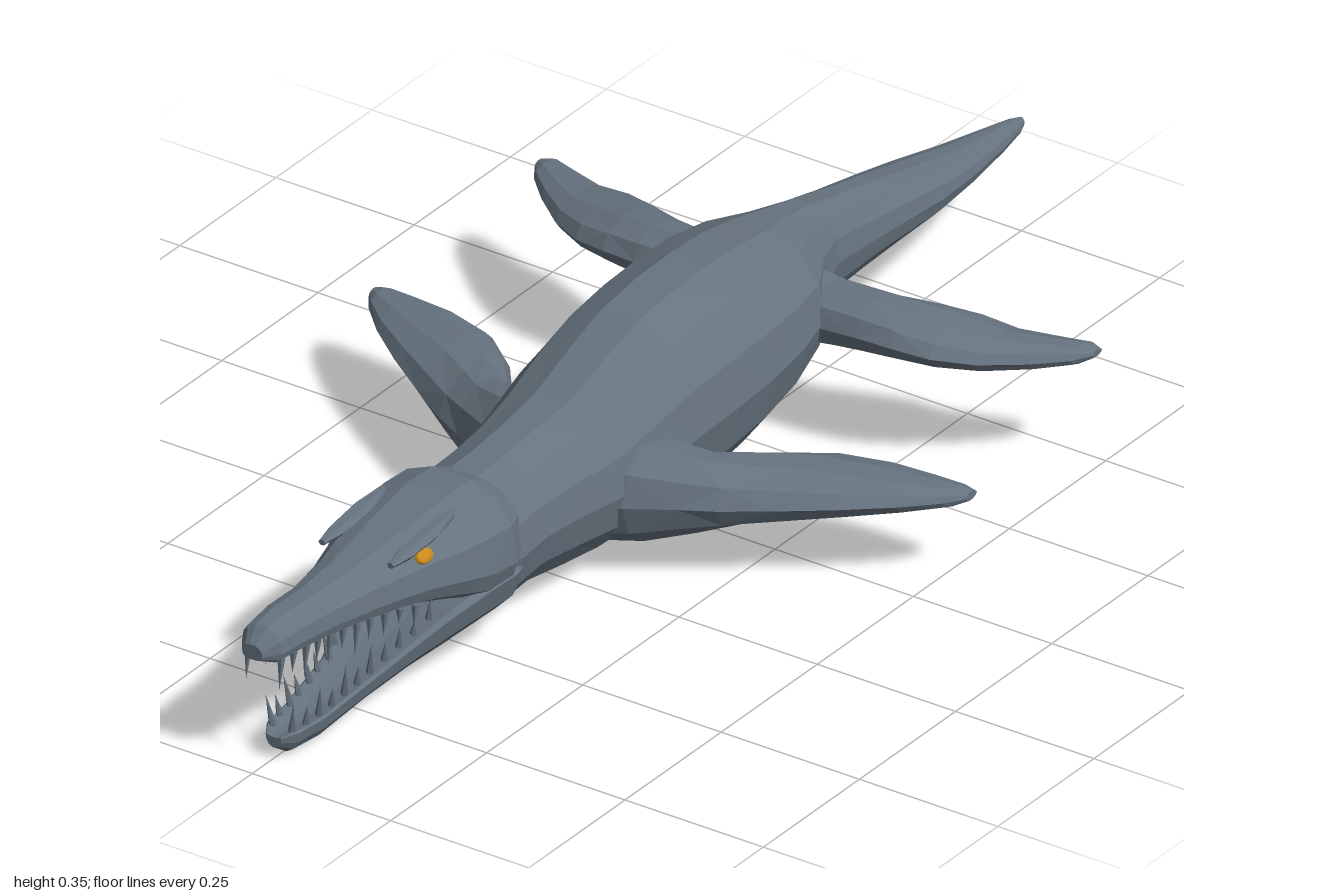
import * as THREE from 'three';

const skin = new THREE.MeshStandardMaterial({ color: 0x66737f });
skin.name = 'slate skin';
const amber = new THREE.MeshStandardMaterial({ color: 0xc98a1c });
amber.name = 'amber eye';

// Skin a row of equal-length rings and close both ends; faceted normals.
function loft(rings) {
  const n = rings[0].length, pos = [], index = [];
  rings.forEach(r => r.forEach(p => pos.push(...p)));
  for (let i = 0; i < rings.length - 1; i++) {
    for (let j = 0; j < n; j++) {
      const a = i * n + j, b = i * n + (j + 1) % n;
      if ((i + j) % 2) index.push(a, a + n, b, b, a + n, b + n);
      else index.push(a, a + n, b + n, a, b + n, b);
    }
  }
  [rings[0], rings[rings.length - 1]].forEach((ring, end) => {
    const c = pos.length / 3, base = end * (rings.length - 1) * n;
    pos.push(...[0, 1, 2].map(k => ring.reduce((s, p) => s + p[k], 0) / n));
    for (let j = 0; j < n; j++) {
      const a = base + j, b = base + (j + 1) % n;
      index.push(c, end ? b : a, end ? a : b);
    }
  });
  const g = new THREE.BufferGeometry();
  g.setAttribute('position', new THREE.Float32BufferAttribute(pos, 3));
  g.setIndex(index);
  const flat = g.toNonIndexed();
  flat.computeVertexNormals();
  return flat;
}

// Cross-section at z: [z, bottom, top, half width]; mid = height share of the widest line.
function ring([z, bot, top, w], { n = 14, mid = 0.5, k = 1, dip = 0 } = {}) {
  const yMid = bot + (top - bot) * mid, pts = [];
  for (let j = 0; j < n; j++) {
    const t = j / n * Math.PI * 2, c = Math.cos(t), s = Math.sin(t);
    const x = w * Math.sign(c) * Math.abs(c) ** k;
    let y = yMid + Math.sign(s) * Math.abs(s) ** k * (s > 0 ? top - yMid : yMid - bot);
    if (s > 0.01) y -= dip * (top - bot) * (1 - (x / w) ** 2);
    pts.push([x, y, z]);
  }
  return pts;
}

// Section values at any z, read between neighbouring rows
function sectionAt(rows, z) {
  const i = Math.max(1, rows.findIndex(r => r[0] <= z));
  const a = rows[i - 1], b = rows[i], t = (a[0] - z) / (a[0] - b[0]);
  return a.map((v, k) => v + (b[k] - v) * t);
}

const BODY = [
  [0.52, 0.06, 0.255, 0.09], [0.45, 0.04, 0.268, 0.108], [0.38, 0.045, 0.272, 0.106],
  [0.3, 0.032, 0.28, 0.112], [0.22, 0.028, 0.29, 0.13], [0.12, 0.026, 0.325, 0.142],
  [0.04, 0.02, 0.35, 0.146], [-0.05, 0.024, 0.36, 0.15], [-0.14, 0.04, 0.361, 0.152],
  [-0.22, 0.068, 0.357, 0.15], [-0.3, 0.105, 0.345, 0.135], [-0.37, 0.135, 0.333, 0.09],
  [-0.43, 0.15, 0.322, 0.067], [-0.52, 0.155, 0.3, 0.062], [-0.62, 0.16, 0.278, 0.06],
  [-0.72, 0.162, 0.255, 0.056], [-0.82, 0.168, 0.232, 0.044], [-0.92, 0.174, 0.215, 0.027],
  [-0.98, 0.178, 0.206, 0.014], [-1, 0.184, 0.2, 0.006],
];
const SKULL = [
  [1, 0.2, 0.225, 0.018], [0.975, 0.188, 0.247, 0.036], [0.92, 0.185, 0.253, 0.042],
  [0.85, 0.177, 0.25, 0.046], [0.76, 0.166, 0.255, 0.062], [0.7, 0.16, 0.262, 0.08],
  [0.655, 0.152, 0.27, 0.095], [0.6, 0.135, 0.275, 0.11], [0.54, 0.11, 0.283, 0.118],
  [0.48, 0.1, 0.28, 0.118], [0.44, 0.12, 0.262, 0.1],
];
const JAW = [
  [0.945, 0.025, 0.05, 0.014], [0.92, 0.008, 0.06, 0.029], [0.86, 0.005, 0.063, 0.037],
  [0.75, 0.02, 0.085, 0.05], [0.66, 0.032, 0.12, 0.073], [0.6, 0.038, 0.15, 0.094],
  [0.53, 0.045, 0.17, 0.112], [0.47, 0.045, 0.17, 0.114], [0.42, 0.06, 0.16, 0.095],
];
const skullShape = { mid: 0.35, k: 0.8 };
const jawShape = { mid: 0.75, dip: 0.3 };

// Flipper sections: [x, leading z, trailing z, bottom, top]
const FRONT_FIN = [
  [0.06, 0.25, 0.05, 0.04, 0.24], [0.13, 0.225, 0.06, 0.055, 0.225], [0.2, 0.18, 0.035, 0.075, 0.205],
  [0.25, 0.155, -0.03, 0.088, 0.195], [0.32, 0.11, -0.085, 0.1, 0.187], [0.4, 0.055, -0.108, 0.114, 0.178],
  [0.47, 0, -0.112, 0.125, 0.17], [0.52, -0.05, -0.113, 0.132, 0.163], [0.54, -0.08, -0.108, 0.14, 0.155],
];
const REAR_FIN = [
  [0.04, -0.25, -0.4, 0.16, 0.29], [0.12, -0.275, -0.4, 0.165, 0.27], [0.2, -0.28, -0.408, 0.175, 0.266],
  [0.26, -0.285, -0.43, 0.18, 0.258], [0.32, -0.3, -0.453, 0.18, 0.245], [0.38, -0.335, -0.46, 0.18, 0.232],
  [0.44, -0.385, -0.48, 0.183, 0.224], [0.485, -0.43, -0.494, 0.188, 0.218], [0.504, -0.46, -0.485, 0.198, 0.21],
];

// Flippers are thick at the leading edge and thin behind
function finGeometry(rows, side) {
  const n = 10;
  return loft(rows.map(([x, lead, trail, bot, top]) => {
    const pts = [];
    for (let j = 0; j < n; j++) {
      const t = side * j / n * Math.PI * 2, c = Math.cos(t), s = Math.sin(t);
      const slim = c < 0 ? 1 + 0.35 * c : 1;
      pts.push([side * x, (bot + top) / 2 + s * slim * (top - bot) / 2,
        (lead + trail) / 2 + c * (lead - trail) / 2]);
    }
    return pts;
  }));
}

export function createModel() {
  const model = new THREE.Group();
  model.name = 'marineReptile';
  const add = (name, geometry, material = skin) => {
    const mesh = new THREE.Mesh(geometry, material);
    mesh.name = name;
    model.add(mesh);
    return mesh;
  };

  add('bodyAndTail', loft(BODY.map(r => ring(r))));
  add('skull', loft(SKULL.map(r => ring(r, skullShape))));
  add('lowerJaw', loft(JAW.map(r => ring(r, jawShape))));

  for (const side of [1, -1]) {
    const label = side > 0 ? 'left' : 'right';
    add(label + 'FrontFlipper', finGeometry(FRONT_FIN, side));
    add(label + 'RearFlipper', finGeometry(REAR_FIN, side));

    // Eye lying on the sloping side of the skull
    const [, p, q] = ring(sectionAt(SKULL, 0.66), skullShape);
    const tilt = Math.atan2(p[0] - q[0], q[1] - p[1]);
    const eye = add(label + 'Eye', new THREE.SphereGeometry(1, 8, 6), amber);
    eye.scale.set(0.006, 0.012, 0.022);
    eye.position.set(side * (p[0] + q[0]) / 2, (p[1] + q[1]) / 2, 0.66);
    eye.rotation.z = side * tilt;

    // Brow ridge over the eye
    const brow = add(label + 'Brow', loft([
      [0.73, 0.25, 0.26, 0.006], [0.69, 0.248, 0.268, 0.014],
      [0.63, 0.252, 0.276, 0.016], [0.57, 0.262, 0.279, 0.006],
    ].map(r => ring(r, { n: 6 }))));
    brow.position.x = side * 0.062;

    // Teeth along both jaws, alternating long and short
    for (let i = 0; i < 11; i++) {
      const length = i % 2 ? 0.036 : 0.055;
      for (const upper of [true, false]) {
        const z = (upper ? 0.97 : 0.925) - i * 0.029;
        const [, bot, top, w] = sectionAt(upper ? SKULL : JAW, z);
        const h = length * (i > 7 ? 0.7 : 1);
        const tooth = add(upper ? 'upperTooth' : 'lowerTooth', new THREE.ConeGeometry(0.0065, h, 5).toNonIndexed());
        tooth.geometry.computeVertexNormals();
        const base = upper ? bot + 0.012 : top - 0.012;
        tooth.position.set(side * w * 0.82, base + (upper ? -h : h) / 2, z);
        tooth.rotation.x = upper ? Math.PI - 0.1 : 0.15;
        tooth.rotation.z = upper ? 0 : -side * 0.15;
      }
    }
  }
  return model;
}
